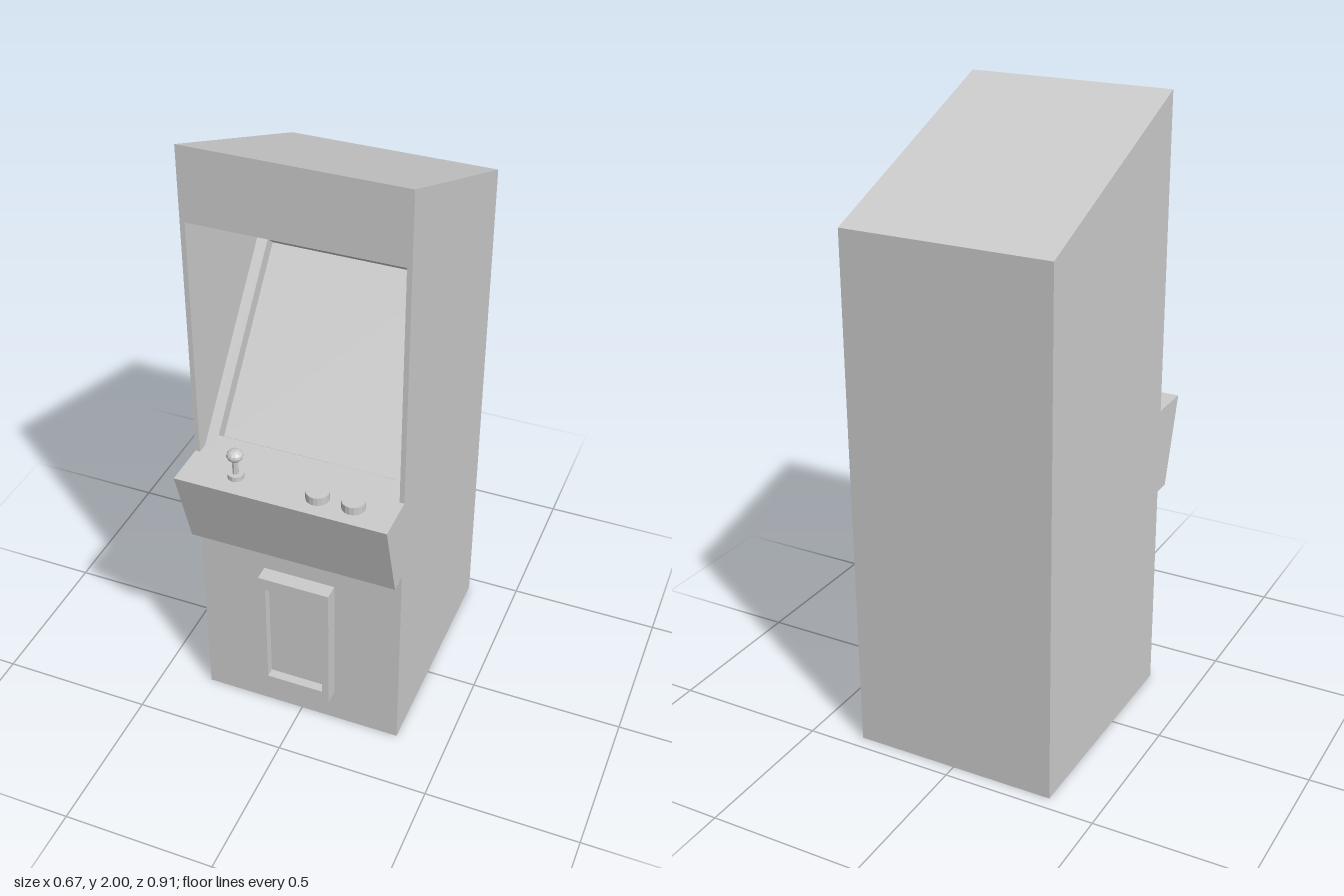
import * as THREE from 'three';

const material = new THREE.MeshStandardMaterial({ color: 0xcccccc, flatShading: true });

// Cabinet measurements
const HALF_WIDTH = 0.335, NICHE_HALF = 0.32, SCREEN_HALF = 0.285;
const FRONT = 0.31, BACK = -0.455, DECK_Y = 0.985;

function addMesh(parent, name, geometry, x = 0, y = 0, z = 0) {
  const mesh = new THREE.Mesh(geometry, material);
  mesh.name = name;
  mesh.position.set(x, y, z);
  parent.add(mesh);
  return mesh;
}

// Extrudes a [z, y] side profile across the cabinet from x0 to x1
function slab(profile, x0, x1) {
  const shape = new THREE.Shape(profile.map(([z, y]) => new THREE.Vector2(z, y)));
  const geometry = new THREE.ExtrudeGeometry(shape, { depth: x1 - x0, bevelEnabled: false });
  return geometry.rotateY(-Math.PI / 2).translate(x1, 0, 0);
}

function rectangle(target, x0, y0, x1, y1) {
  target.moveTo(x0, y0);
  target.lineTo(x1, y0);
  target.lineTo(x1, y1);
  target.lineTo(x0, y1);
  target.closePath();
  return target;
}

function createCabinet() {
  const cabinet = new THREE.Group();
  cabinet.name = 'cabinet';
  const outline = [[BACK, 0], [FRONT, 0], [FRONT, 2], [BACK, 1.69]];

  // Side profile cut by the niche, with the given points along the screen slope
  const nicheProfile = (slope) => [
    [BACK, 0], [FRONT, 0], [FRONT, DECK_Y],
    [0.275, DECK_Y], ...slope, [-0.165, 1.51],
    [FRONT, 1.77], [FRONT, 2], [BACK, 1.69],
  ];

  // Full-height side panels and the sloping frame beside the screen
  for (const [side, label] of [[1, 'left'], [-1, 'right']]) {
    const span = (a, b) => (side > 0 ? [a, b] : [-b, -a]);
    addMesh(cabinet, `${label}SidePanel`, slab(outline, ...span(NICHE_HALF, HALF_WIDTH)));
    addMesh(cabinet, `${label}ScreenFrame`, slab(nicheProfile([]), ...span(SCREEN_HALF, NICHE_HALF)));
  }

  // Centre body with the screen set back into the frame
  const inset = [[0.25, 1.015], [0.215, 0.986], [-0.179, 1.455], [-0.144, 1.485]];
  addMesh(cabinet, 'bodyAndScreen', slab(nicheProfile(inset), -SCREEN_HALF, SCREEN_HALF));
  return cabinet;
}

function createControls() {
  const controls = new THREE.Group();
  controls.name = 'controls';

  // Overhanging panel with a raked front
  const panel = [[FRONT, 0.7], [0.37, 0.7], [0.455, DECK_Y], [FRONT, DECK_Y]];
  addMesh(controls, 'controlPanel', slab(panel, -HALF_WIDTH, HALF_WIDTH));

  // Joystick
  const joystick = new THREE.Group();
  joystick.name = 'joystick';
  joystick.position.set(-0.168, DECK_Y, 0.38);
  addMesh(joystick, 'joystickBase', new THREE.CylinderGeometry(0.025, 0.025, 0.016, 12), 0, 0.008, 0);
  addMesh(joystick, 'joystickShaft', new THREE.CylinderGeometry(0.01, 0.01, 0.07, 8), 0, 0.045, 0);
  const ball = addMesh(joystick, 'joystickBall', new THREE.SphereGeometry(0.026, 12, 8), 0, 0.081, 0);
  ball.scale.y = 0.75;
  controls.add(joystick);

  // Push buttons
  for (const x of [0.093, 0.205]) {
    addMesh(controls, 'button', new THREE.CylinderGeometry(0.036, 0.036, 0.027, 16), x, DECK_Y + 0.0135, 0.38);
  }
  return controls;
}

function createCoinDoor() {
  const door = new THREE.Group();
  door.name = 'coinDoor';

  // Raised frame around a recessed panel
  const frame = rectangle(new THREE.Shape(), -0.12, 0.118, 0.116, 0.583);
  frame.holes.push(rectangle(new THREE.Path(), -0.097, 0.16, 0.093, 0.541));
  addMesh(door, 'doorFrame', new THREE.ExtrudeGeometry(frame, { depth: 0.05, bevelEnabled: false }), 0, 0, FRONT);
  addMesh(door, 'doorPanel', new THREE.BoxGeometry(0.19, 0.381, 0.02), -0.002, 0.3505, FRONT + 0.01);
  return door;
}

export function createModel() {
  const model = new THREE.Group();
  model.name = 'arcadeCabinet';
  model.add(createCabinet(), createControls(), createCoinDoor());
  return model;
}
